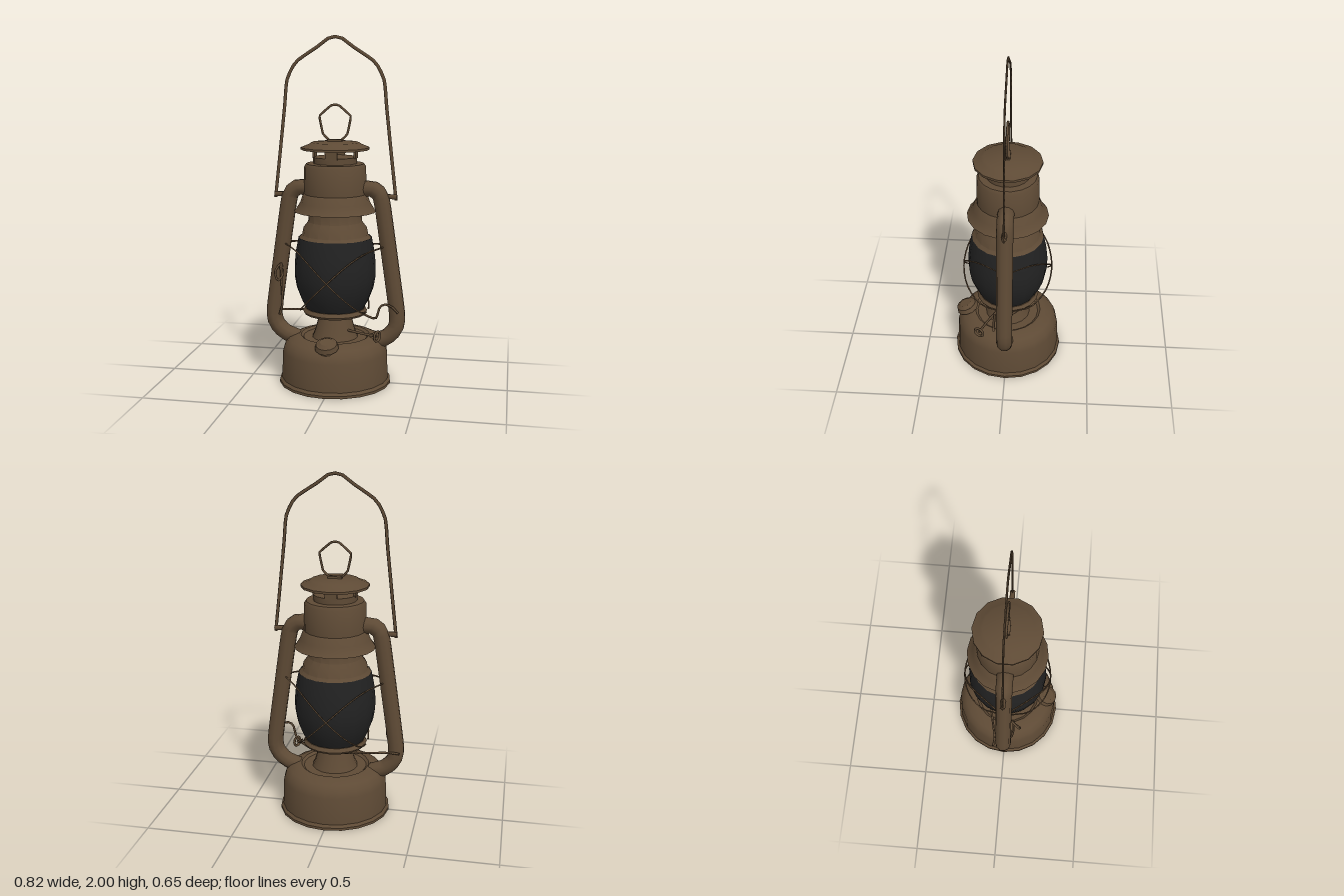
import * as THREE from 'three';
import { toCreasedNormals } from 'three/addons/utils/BufferGeometryUtils.js';

const metal = new THREE.MeshStandardMaterial({ color: 0x5e4a35, side: THREE.DoubleSide });
metal.name = 'bronze brown';
const dark = new THREE.MeshStandardMaterial({ color: 0x222222, side: THREE.DoubleSide });
dark.name = 'smoked glass';

export function createModel() {
  const lantern = new THREE.Group();
  lantern.name = 'lantern';

  const add = (name, geometry, material = metal, parent = lantern) => {
    const mesh = new THREE.Mesh(geometry, material);
    mesh.name = name;
    parent.add(mesh);
    return mesh;
  };
  // profile of [radius, height] pairs, from bottom to top
  const lathe = (name, profile, sides, material) => add(name, toCreasedNormals(
    new THREE.LatheGeometry(profile.map(([r, y]) => new THREE.Vector2(r, y)), sides), 0.65), material);
  // bent rod through a few points
  const rod = (name, points, radius, { steps = 20, sides = 5, closed = false, tension = 0.3 } = {}) => {
    const curve = new THREE.CatmullRomCurve3(
      points.map(p => new THREE.Vector3(...p)), closed, 'catmullrom', tension);
    return add(name, new THREE.TubeGeometry(curve, steps, radius, sides, closed));
  };

  // fuel tank and burner
  lathe('fuelTank', [[0, 0.005], [0.325, 0], [0.325, 0.015], [0.312, 0.03], [0.306, 0.19],
    [0.295, 0.225], [0.27, 0.258], [0.225, 0.278], [0.2, 0.28], [0.185, 0.268], [0, 0.268]], 20);
  lathe('burnerCone', [[0.135, 0.265], [0.12, 0.3], [0.1, 0.37], [0.09, 0.4], [0, 0.4]], 16);
  lathe('globePlate', [[0.09, 0.39], [0.135, 0.41], [0.18, 0.412], [0.187, 0.424], [0.18, 0.435],
    [0.175, 0.445], [0, 0.445]], 18);

  // glass globe
  lathe('globe', [[0.168, 0.44], [0.195, 0.49], [0.222, 0.56], [0.234, 0.63], [0.234, 0.7],
    [0.226, 0.78], [0.21, 0.86]], 18, dark);

  // chimney
  lathe('globeCollar', [[0.21, 0.855], [0.19, 0.875], [0.182, 0.915], [0.155, 0.95], [0.15, 1.02],
    [0.15, 1.1]], 18);
  lathe('hood', [[0.235, 1.01], [0.227, 1.017], [0.2, 1.06], [0.186, 1.1], [0.178, 1.11],
    [0.176, 1.265], [0.165, 1.283], [0.125, 1.285], [0.125, 1.32], [0, 1.32]], 18);
  lathe('topCap', [[0, 1.355], [0.13, 1.355], [0.14, 1.37], [0.195, 1.362], [0.195, 1.375],
    [0.15, 1.393], [0.135, 1.403], [0, 1.41]], 14);
  for (let i = 0; i < 4; i++) {
    const a = i * Math.PI / 2;
    const post = add('ventPost', new THREE.BoxGeometry(0.07, 0.05, 0.012));
    post.position.set(Math.sin(a) * 0.118, 1.338, Math.cos(a) * 0.118);
    post.rotation.y = a;
  }

  // lifting ring on the cap
  rod('capRing', [[-0.035, 1.415, 0], [-0.07, 1.45, 0], [-0.09, 1.55, 0], [-0.02, 1.612, 0],
    [0.02, 1.612, 0], [0.09, 1.55, 0], [0.07, 1.45, 0], [0.035, 1.415, 0]], 0.007,
  { steps: 35, closed: true, tension: 0.1 });
  add('capRingClip', new THREE.BoxGeometry(0.08, 0.02, 0.03)).position.y = 1.41;

  // side air tubes with bail lugs
  for (const s of [-1, 1]) {
    rod('airTube', [[0.15, 1.14], [0.215, 1.143], [0.258, 1.11], [0.275, 1.04], [0.32, 0.73],
      [0.364, 0.41], [0.352, 0.33], [0.3, 0.275], [0.22, 0.245]].map(([x, y]) => [s * x, y, 0]),
    0.047, { steps: 30, sides: 10 });
    const lug = add('bailLug', new THREE.CylinderGeometry(0.015, 0.015, 0.06, 6));
    lug.rotation.z = Math.PI / 2;
    lug.position.set(s * 0.325, 1.1, 0);
  }

  // carrying bail, a flattened wire
  const half = [[0.35, 1.08], [0.325, 1.3], [0.292, 1.6], [0.277, 1.75], [0.225, 1.85],
    [0.1, 1.935], [0.03, 1.986]];
  const bail = [...half.map(([x, y]) => [-x, y, 0]), ...half.reverse().map(([x, y]) => [x, y, 0])];
  rod('bail', bail, 0.01, { steps: 50 }).scale.z = 0.6;

  // crossed guard wires in front of and behind the globe
  for (const z of [-1, 1]) {
    for (const x of [-1, 1]) {
      rod('guardWire', [[-0.29 * x, 0.815, 0.03 * z], [-0.2 * x, 0.795, 0.14 * z],
        [-0.11 * x, 0.74, 0.225 * z], [0, 0.64, 0.262 * z], [0.1 * x, 0.54, 0.235 * z],
        [0.17 * x, 0.46, 0.15 * z], [0.19 * x, 0.43, 0.04 * z]], 0.005,
      { steps: 20, sides: 4, tension: 0.5 });
    }
  }

  // globe lift lever: cross rod, upright and finger loop
  rod('liftRod', [[-0.39, 0.395, -0.06], [-0.33, 0.395, -0.055], [-0.1, 0.395, -0.1],
    [0.1, 0.395, -0.1], [0.24, 0.395, 0.04], [0.27, 0.47, 0.06], [0.3, 0.488, 0.06],
    [0.34, 0.475, 0.06], [0.375, 0.44, 0.06]], 0.007, { steps: 40 });
  rod('liftUpright', [[-0.32, 0.395, 0.05], [-0.3, 0.47, 0.06], [-0.305, 0.6, 0.06],
    [-0.31, 0.7, 0.06]], 0.007);
  rod('liftLoop', [[-0.31, 0.7, 0.05], [-0.335, 0.66, 0.09], [-0.32, 0.61, 0.1],
    [-0.3, 0.63, 0.06]], 0.007, { closed: true });

  // wick adjuster
  rod('wickShaft', [[0.08, 0.325, 0.06], [0.17, 0.325, 0.11], [0.27, 0.325, 0.155]], 0.007);
  const knob = add('wickKnob', new THREE.TorusGeometry(0.028, 0.008, 5, 10));
  knob.position.set(0.27, 0.325, 0.155);
  knob.rotation.y = 1.1;

  // filler cap, tilted forward on the shoulder of the tank
  const filler = new THREE.Group();
  filler.name = 'fillerCap';
  filler.position.set(0, 0.262, 0.245);
  filler.rotation.x = 0.35;
  lantern.add(filler);
  const neck = add('fillerNeck', new THREE.CylinderGeometry(0.045, 0.055, 0.06, 12), metal, filler);
  neck.position.y = -0.015;
  const lid = add('fillerLid', new THREE.CylinderGeometry(0.06, 0.068, 0.028, 12), metal, filler);
  lid.position.y = 0.025;
  const crown = add('fillerCrown', new THREE.CylinderGeometry(0.035, 0.055, 0.014, 12), metal, filler);
  crown.position.y = 0.045;

  return lantern;
}
